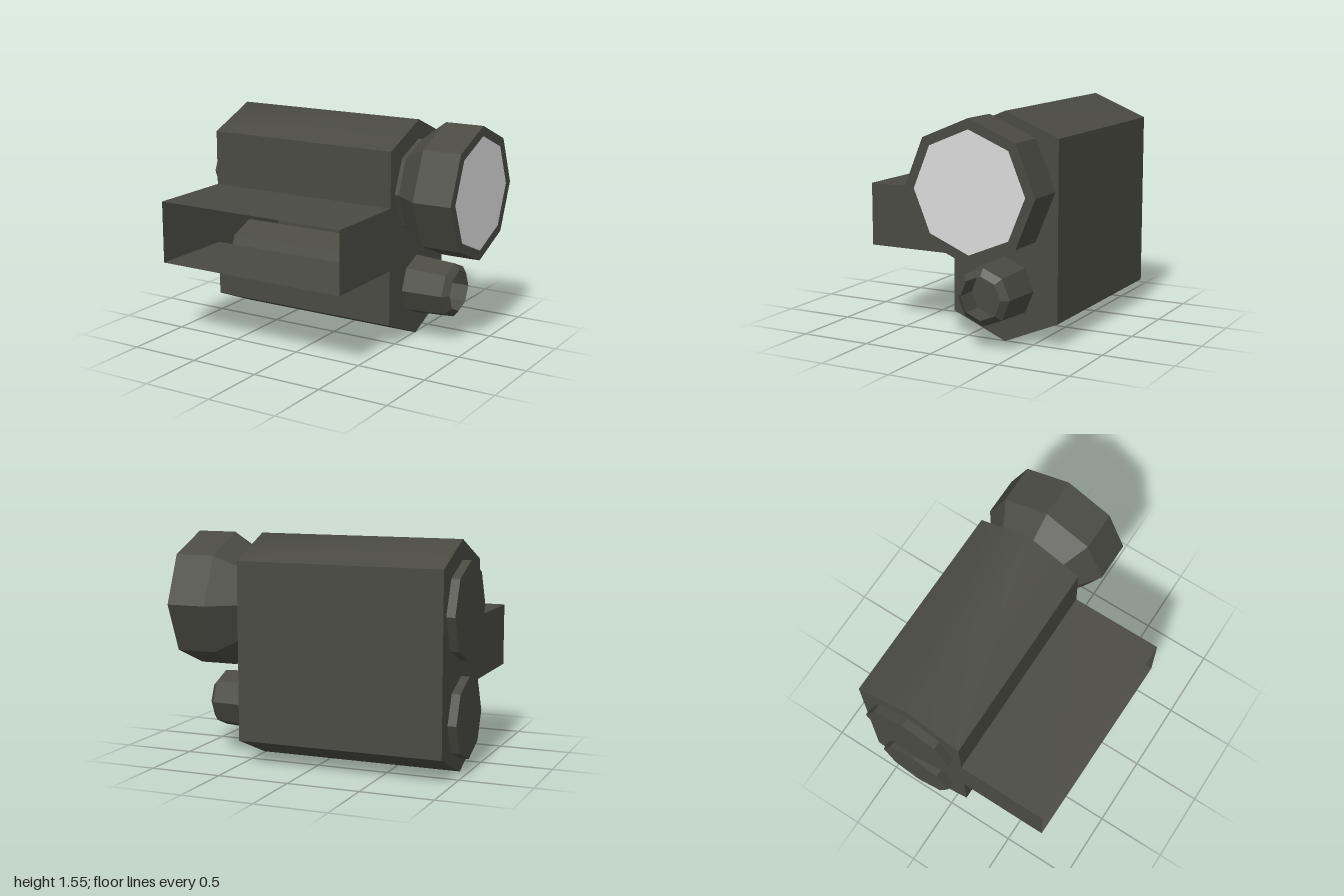
import * as THREE from 'three';

const X0 = -0.94, X1 = 0.51, AXIS_Z = -0.29;

export function createModel() {
  const group = new THREE.Group();
  const casing = new THREE.MeshStandardMaterial({ color: 0x4a4a43, side: THREE.DoubleSide });
  casing.name = 'darkCasing';
  const glass = new THREE.MeshStandardMaterial({ color: 0xdadada, side: THREE.DoubleSide });
  glass.name = 'paleLens';

  const add = (name, geometry, material = casing) => {
    const mesh = new THREE.Mesh(geometry, material);
    mesh.name = name;
    group.add(mesh);
    return mesh;
  };

  // The open bracket is very slightly shallower at its left-hand end
  const depth = (z, x) => (z > 0.7 && x < 0 ? 0.745 : z);

  // Sheet spanning the housing's length, following [z, y] points
  const sheet = (name, points) => {
    const pos = [], index = [];
    points.forEach(([z, y], i) => {
      pos.push(X0, y, depth(z, X0), X1, y, depth(z, X1));
      if (i) {
        const a = 2 * i - 2;
        index.push(a, a + 1, a + 3, a, a + 3, a + 2);
      }
    });
    const g = new THREE.BufferGeometry();
    g.setAttribute('position', new THREE.Float32BufferAttribute(pos, 3));
    g.setIndex(index);
    g.computeVertexNormals();
    add(name, g);
  };

  // Hollow housing: rounded ridges above and below, open at the bracket front
  const roof = [[0.76, 1], [0.1, 1]];
  const top = [[0.1, 1.393], [AXIS_Z, 1.555], [-0.68, 1.393]];
  const bottom = [[-0.68, 0.165], [AXIS_Z, 0], [0.1, 0.165]];
  const floor = [[0.1, 0.56], [0.76, 0.56]];
  sheet('bracketRoof', roof);
  sheet('upperFrontWall', [roof[1], top[0]]);
  sheet('housingTop', top);
  sheet('backWall', [top[2], bottom[0]]);
  sheet('housingBottom', bottom);
  sheet('lowerFrontWall', [bottom[2], floor[0]]);
  sheet('bracketFloor', floor);

  // End plates of housing and bracket
  const outline = [...roof, ...top, ...bottom, ...floor];
  for (const [name, x, s] of [['rightEndPlate', X0, 1], ['leftEndPlate', X1, -1]]) {
    const shape = new THREE.Shape(outline.map(([z, y]) => new THREE.Vector2(s * depth(z, x), y)));
    add(name, new THREE.ShapeGeometry(shape).rotateY(-s * Math.PI / 2).translate(x, 0, 0));
  }

  // Eight-sided faceted parts turned about the x direction, from [radius, x] points
  const turned = (name, y, points, material) => {
    const profile = points.map(([r, x]) => new THREE.Vector2(r, x));
    const g = new THREE.LatheGeometry(profile, 8).toNonIndexed();
    g.computeVertexNormals();
    add(name, g.rotateZ(-Math.PI / 2).translate(0, y, AXIS_Z), material);
  };

  // Large lamp tube with flared head and lens
  turned('lampTube', 1.085, [
    [0, -1], [0.335, -1], [0.335, 0.54], [0.47, 0.72], [0.47, 1], [0.4, 1],
  ]);
  turned('lampLens', 1.085, [[0.4, 1], [0, 1]], glass);

  // Small tapered tube with a recessed muzzle
  turned('smallTube', 0.37, [
    [0, -1], [0.28, -1], [0.28, 0.2], [0.222, 0.4], [0.195, 0.81],
    [0.148, 0.85], [0.148, 0.7], [0, 0.7],
  ]);

  return group;
}
